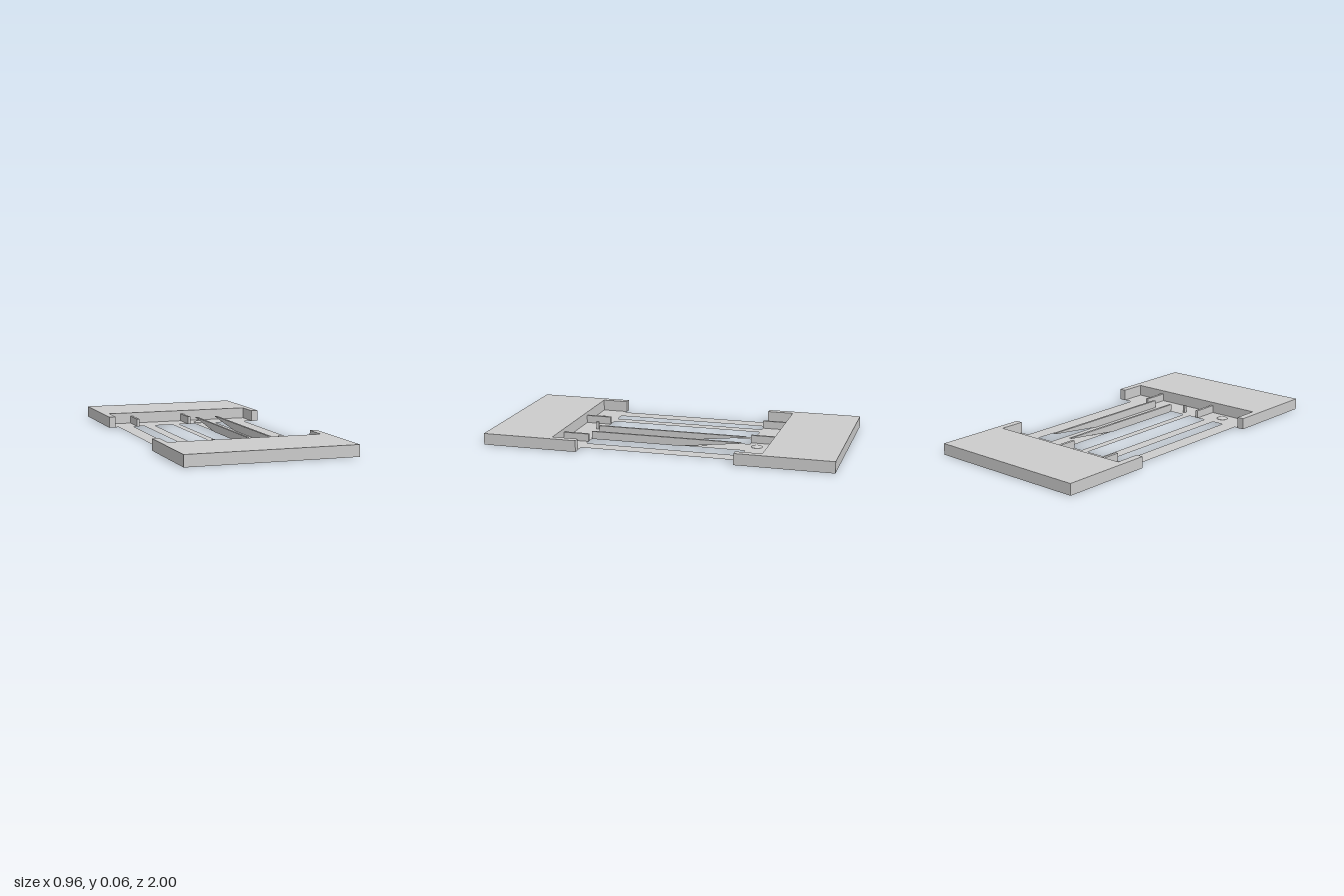
import * as THREE from 'three';

const material = new THREE.MeshStandardMaterial({ color: 0xcccccc, side: THREE.DoubleSide, flatShading: true });
const smooth = new THREE.MeshStandardMaterial({ color: 0xcccccc });

function addMesh(parent, name, geometry, mat = material) {
  const mesh = new THREE.Mesh(geometry, mat);
  mesh.name = name;
  parent.add(mesh);
  return mesh;
}

// Flat outline in x and -z, laid on the ground plane
function flatShape(points) {
  return new THREE.Shape(points.map(([x, y]) => new THREE.Vector2(x, y)));
}

function addBox(parent, name, x0, x1, y0, y1, z0, z1) {
  const mesh = addMesh(parent, name, new THREE.BoxGeometry(x1 - x0, y1 - y0, z1 - z0));
  mesh.position.set((x0 + x1) / 2, (y0 + y1) / 2, (z0 + z1) / 2);
}

// Hollow cover, open underneath, with a notch facing the middle
function createEndCover(name) {
  const height = 0.065;
  const outline = [
    [-0.48, 0.45], [-0.44, 0.45], [-0.44, 0.6], [0.44, 0.6],
    [0.44, 0.45], [0.48, 0.45], [0.48, 1], [-0.48, 1],
  ];
  const cover = new THREE.Group();
  cover.name = name;
  const top = addMesh(cover, 'coverTop', new THREE.ShapeGeometry(flatShape(outline)));
  top.rotation.x = -Math.PI / 2;
  top.position.y = height;
  outline.forEach(([x0, y0], i) => {
    const [x1, y1] = outline[(i + 1) % outline.length];
    const wall = addMesh(cover, 'coverWall', new THREE.PlaneGeometry(Math.hypot(x1 - x0, y1 - y0), height));
    wall.position.set((x0 + x1) / 2, height / 2, -(y0 + y1) / 2);
    wall.rotation.y = Math.atan2(y1 - y0, x1 - x0);
  });
  return cover;
}

export function createModel() {
  const group = new THREE.Group();

  // End covers
  const backCover = createEndCover('backCover');
  const frontCover = createEndCover('frontCover');
  frontCover.rotation.y = Math.PI;
  group.add(backCover, frontCover);

  // Thin deck: two end strips joined by five lanes
  const deck = flatShape([
    [-0.42, -0.45], [-0.48, -0.45], [-0.48, -0.6], [0.48, -0.6], [0.48, -0.45], [0.39, -0.45],
    [0.39, 0.45], [0.48, 0.45], [0.48, 0.6], [-0.48, 0.6], [-0.48, 0.45], [-0.42, 0.45],
  ]);
  for (const [x0, x1] of [[-0.33, -0.26], [-0.195, -0.08], [-0.035, 0.065], [0.2, 0.3]]) {
    deck.holes.push(new THREE.Path([[x0, -0.45], [x0, 0.45], [x1, 0.45], [x1, -0.45]]
      .map(([x, y]) => new THREE.Vector2(x, y))));
  }
  const deckMesh = addMesh(group, 'deck', new THREE.ShapeGeometry(deck));
  deckMesh.rotation.x = -Math.PI / 2;
  deckMesh.position.y = 0.001;

  // Tapered rails on both sides of the wide lane
  const railProfile = flatShape([[-0.45, 0], [0.08, 0], [0.43, 0.041], [0.43, 0.045], [-0.45, 0.045]]);
  for (const x of [0.062, 0.19]) {
    const geometry = new THREE.ExtrudeGeometry(railProfile, { depth: 0.014, bevelEnabled: false });
    geometry.rotateY(Math.PI / 2);
    addMesh(group, 'laneRail', geometry).position.x = x;
  }

  // Dividers standing on the end strips
  for (const x of [-0.298, 0.028]) addBox(group, 'backDivider', x - 0.008, x + 0.008, 0, 0.045, -0.6, -0.45);
  for (const x of [-0.135, 0.256]) addBox(group, 'frontDivider', x - 0.008, x + 0.008, 0, 0.045, 0.45, 0.6);

  // Small peg
  addBox(group, 'peg', -0.018, -0.003, 0, 0.045, 0.482, 0.498);

  // Shallow round studs along the wide lane and on the front strip
  for (const [x, z] of [[0.13, 0.28], [0.13, 0.04], [0.13, -0.2], [0.11, -0.5], [-0.26, 0.54]]) {
    const dome = new THREE.SphereGeometry(0.032, 20, 6, 0, Math.PI * 2, 0, Math.PI / 2);
    dome.scale(1, 0.3, 1);
    addMesh(group, 'stud', dome, smooth).position.set(x, 0.001, z);
  }

  return group;
}
